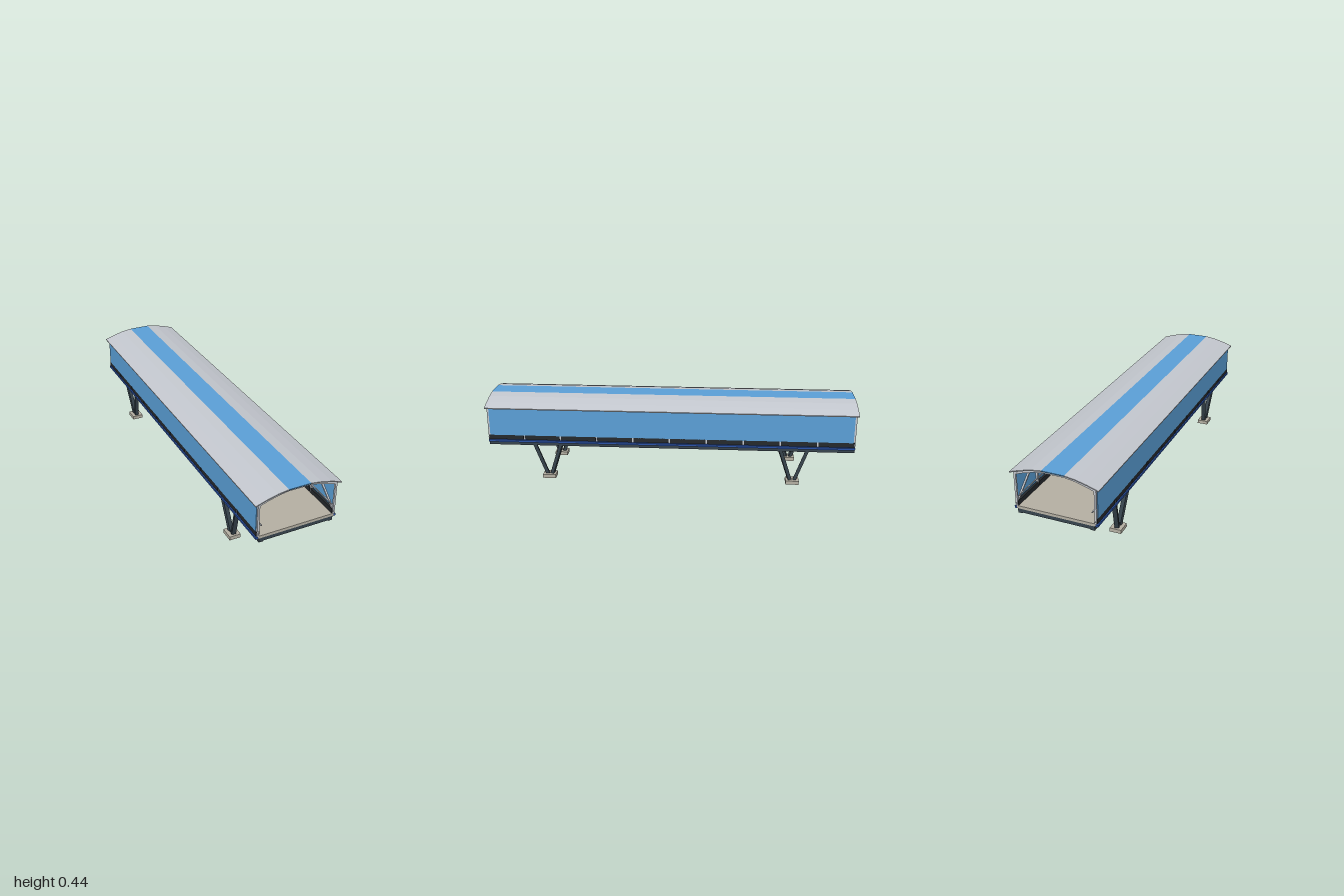
import * as THREE from 'three';

const HALF = 0.976;            // half length of the roof
const FRAME = 0.968;           // half length of the frame
const BAYS = 10;
const BAY = (2 * FRAME) / BAYS;

function makeMaterial(name, color, side = THREE.FrontSide) {
  const m = new THREE.MeshStandardMaterial({ color, side });
  m.name = name;
  return m;
}

export function createModel() {
  const metal = makeMaterial('light metal', 0xc2c6cd);
  const glass = makeMaterial('blue glazing', 0x5a9fd6);
  const trim = makeMaterial('deep blue trim', 0x2a52a6);
  const steel = makeMaterial('dark slate steel', 0x36434c);
  const black = makeMaterial('black kick plate', 0x24282c);
  const concrete = makeMaterial('warm concrete', 0xb4afa2);

  const root = new THREE.Group();
  root.name = 'coveredFootbridge';
  const bridge = new THREE.Group();
  bridge.name = 'bridge';
  bridge.rotation.y = -0.148;  // the bridge runs slightly askew
  root.add(bridge);

  const add = (name, geometry, material) => {
    const mesh = new THREE.Mesh(geometry, material);
    mesh.name = name;
    bridge.add(mesh);
    return mesh;
  };
  const box = (name, material, w, h, d, x, y, z) => {
    const mesh = add(name, new THREE.BoxGeometry(w, h, d), material);
    mesh.position.set(x, y, z);
    return mesh;
  };
  // Straight bar between two points
  const bar = (name, material, a, b, w, h = w) => {
    const from = new THREE.Vector3(...a), to = new THREE.Vector3(...b);
    const mesh = new THREE.Mesh(new THREE.BoxGeometry(w, h, from.distanceTo(to)), material);
    mesh.position.copy(from).add(to).multiplyScalar(0.5);
    mesh.lookAt(to);
    mesh.name = name;
    bridge.add(mesh);
  };
  // Band below a polyline in x/y, extruded along z
  const band = (name, material, pts, thick, z, depth) => {
    const outline = [...pts, ...[...pts].reverse().map(([x, y]) => [x, y - thick])];
    const shape = new THREE.Shape(outline.map(([x, y]) => new THREE.Vector2(x, y)));
    const g = new THREE.ExtrudeGeometry(shape, { depth, bevelEnabled: false });
    g.translate(0, 0, z - depth / 2);
    return add(name, g, material);
  };

  // Roof: faceted arch with a glazed centre strip
  const half = [[0.057, 0.443], [0.112, 0.435], [0.167, 0.421], [0.2225, 0.403]];
  const arch = [...half.map(([x, y]) => [-x, y]).reverse(), ...half];
  for (let i = 0; i < arch.length - 1; i++) {
    const centre = i === 3;
    band(centre ? 'skylight' : 'roofPanel', centre ? glass : metal,
      [arch[i], arch[i + 1]], 0.005, 0, HALF * 2);
  }

  // Deck and the steel below it
  box('deck', concrete, 0.4, 0.014, FRAME * 2, 0, 0.219, 0);
  for (let i = 0; i <= BAYS; i++) {
    const z = -FRAME + i * BAY;
    const end = i === 0 ? 0.009 : i === BAYS ? -0.009 : 0;
    box('crossBeam', steel, 0.38, 0.018, 0.018, 0, 0.203, z + end);
  }

  // Roof ribs
  const ribLine = arch.map(([x, y]) => [x * 0.92, y - 0.004]);
  for (let i = 0; i <= BAYS; i++) {
    const z = THREE.MathUtils.clamp(-FRAME + i * BAY, -FRAME + 0.005, FRAME - 0.005);
    band('roofRib', metal, ribLine, 0.011, z, 0.011);
  }

  // Side walls, mirrored
  for (const s of [-1, 1]) {
    box('edgeBeam', steel, 0.022, 0.022, FRAME * 2, s * 0.184, 0.201, 0);
    box('fascia', trim, 0.012, 0.011, FRAME * 2, s * 0.206, 0.2165, 0);
    box('topChord', metal, 0.014, 0.011, FRAME * 2, s * 0.2, 0.4, 0);
    box('glazing', glass, 0.003, 0.146, FRAME * 2 - 0.02, s * 0.2065, 0.322, 0);
    box('handrail', metal, 0.005, 0.005, FRAME * 2, s * 0.185, 0.283, 0);
    for (let i = 0; i <= BAYS; i++) {
      const z = THREE.MathUtils.clamp(-FRAME + i * BAY, -FRAME + 0.005, FRAME - 0.005);
      box('post', metal, 0.01, 0.176, 0.01, s * 0.2, 0.312, z);
      if (i === BAYS) continue;
      const z0 = -FRAME + i * BAY, z1 = z0 + BAY;
      const up = i % 2 === 0;
      bar('diagonal', metal, [s * 0.2, up ? 0.235 : 0.395, z0],
        [s * 0.2, up ? 0.395 : 0.235, z1], 0.008);
      box('kickPlate', black, 0.016, 0.025, BAY - 0.008, s * 0.2, 0.2375, (z0 + z1) / 2);
    }

    // V-shaped piers on footings
    for (const e of [-1, 1]) {
      const z = e * 0.655;
      box('footing', concrete, 0.06, 0.02, 0.07, s * 0.165, 0.01, z);
      for (const d of [-1, 1]) {
        bar('pierLeg', steel, [s * 0.165, 0.015, z + d * 0.012],
          [s * 0.18, 0.2, z + d * 0.074], 0.022, 0.018);
      }
    }
  }
  return root;
}
